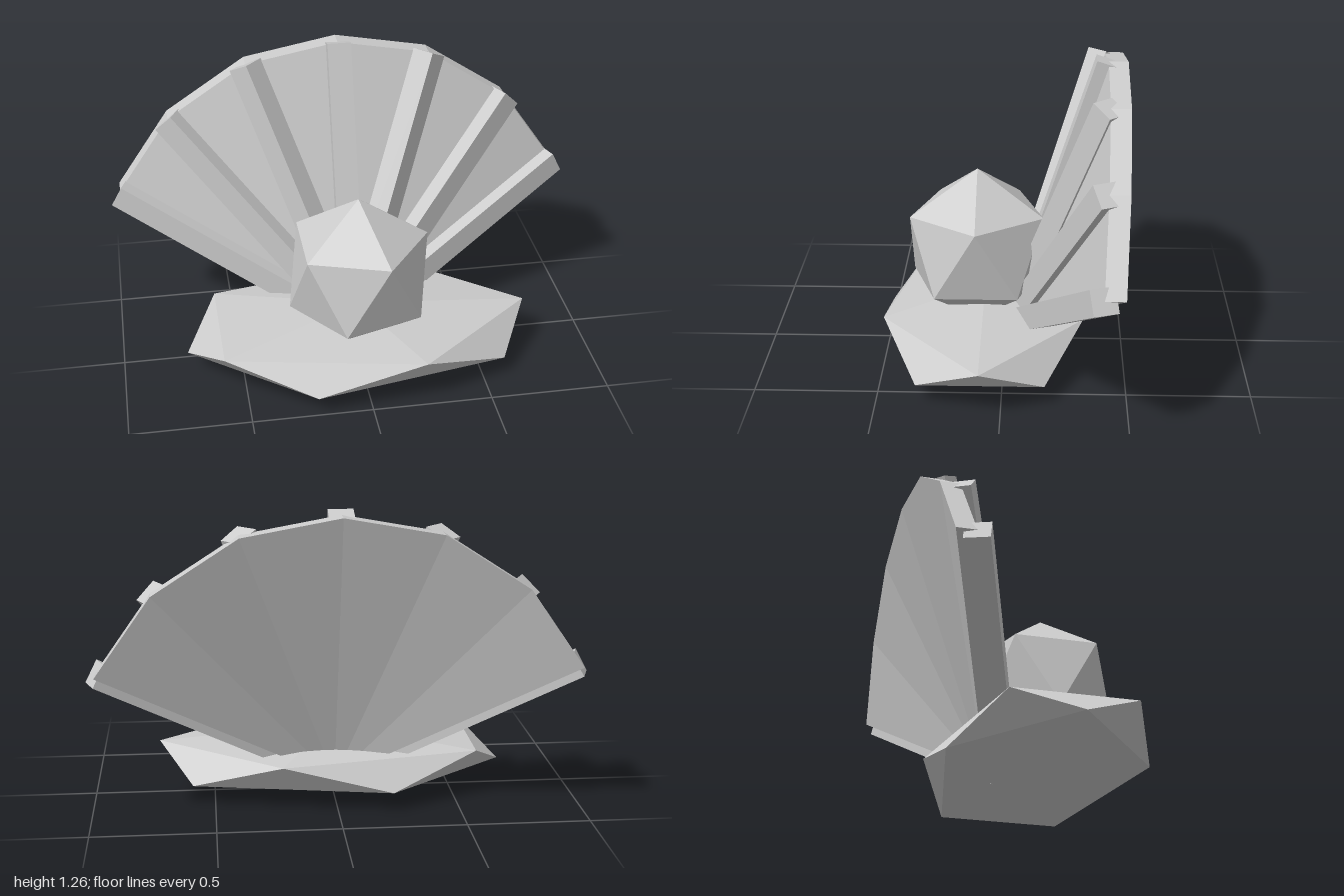
import * as THREE from 'three';

const stone = new THREE.MeshStandardMaterial({ color: 0xcccccc, flatShading: true });
stone.name = 'pale grey';

// Flat-sided mesh from a list of triangle corners
function facetedMesh(name, corners) {
  const geometry = new THREE.BufferGeometry().setFromPoints(corners);
  geometry.computeVertexNormals();
  const mesh = new THREE.Mesh(geometry, stone);
  mesh.name = name;
  return mesh;
}

// Stretched icosahedron: two staggered five-point rings between two poles
function gem(name, rx, rz, z, [yBottom, yLow, yHigh, yTop]) {
  const ring = (y, turn) => Array.from({ length: 5 }, (_, i) => {
    const a = (i + turn) * Math.PI * 0.4;
    return new THREE.Vector3(rx * Math.cos(a), y, z + rz * Math.sin(a));
  });
  const upper = ring(yHigh, 0), lower = ring(yLow, 0.5);
  const top = new THREE.Vector3(0, yTop, z), bottom = new THREE.Vector3(0, yBottom, z);
  const corners = [];
  for (let i = 0; i < 5; i++) {
    const j = (i + 1) % 5;
    corners.push(top, upper[j], upper[i], upper[i], upper[j], lower[i]);
    corners.push(lower[i], upper[j], lower[j], bottom, lower[i], lower[j]);
  }
  return facetedMesh(name, corners);
}

// Thin fan panel: front and back sectors plus an edge wall
function fanPanel(hub, tips, depth) {
  const front = [hub, ...tips];
  const back = front.map(p => p.clone().setZ(p.z - depth));
  const corners = [];
  for (let i = 1; i < tips.length; i++) {
    corners.push(hub, front[i], front[i + 1], back[0], back[i + 1], back[i]);
  }
  front.forEach((a, i) => {
    const j = (i + 1) % front.length;
    corners.push(a, back[i], back[j], a, back[j], front[j]);
  });
  return facetedMesh('shellPanel', corners);
}

// Square bar from hub to tip, one side kept as upright as possible
function rib(hub, tip) {
  const along = tip.clone().sub(hub);
  const length = along.length();
  along.normalize();
  const up = new THREE.Vector3(0, 1, 0).addScaledVector(along, -along.y).normalize();
  const side = new THREE.Vector3().crossVectors(up, along);
  const mesh = new THREE.Mesh(new THREE.BoxGeometry(0.1, 0.1, length), stone);
  mesh.quaternion.setFromRotationMatrix(new THREE.Matrix4().makeBasis(side, up, along));
  mesh.position.copy(hub).add(tip).multiplyScalar(0.5);
  mesh.name = 'shellRib';
  return mesh;
}

export function createModel() {
  const model = new THREE.Group();
  model.name = 'shellWithPearl';

  // Lower shell and pearl
  model.add(gem('lowerShell', 0.73, 0.436, 0.084, [0, 0.08, 0.2, 0.257]));
  model.add(gem('pearl', 0.292, 0.292, 0.115, [0.1, 0.29, 0.595, 0.78]));

  // Upper shell: rib tips listed from the model's left over the top to its right
  const hub = new THREE.Vector3(0, 0.08, -0.04);
  const half = [[0.96, 0.63, -0.385], [0.735, 0.952, -0.402], [0.395, 1.173, -0.414]];
  const tips = [
    ...half.map(([x, y, z]) => new THREE.Vector3(x, y, z)),
    new THREE.Vector3(0, 1.245, -0.418),
    ...half.map(([x, y, z]) => new THREE.Vector3(-x, y, z)).reverse(),
  ];
  const upperShell = new THREE.Group();
  upperShell.name = 'upperShell';
  upperShell.add(fanPanel(hub, tips, 0.08), ...tips.map(tip => rib(hub, tip)));
  model.add(upperShell);

  return model;
}
